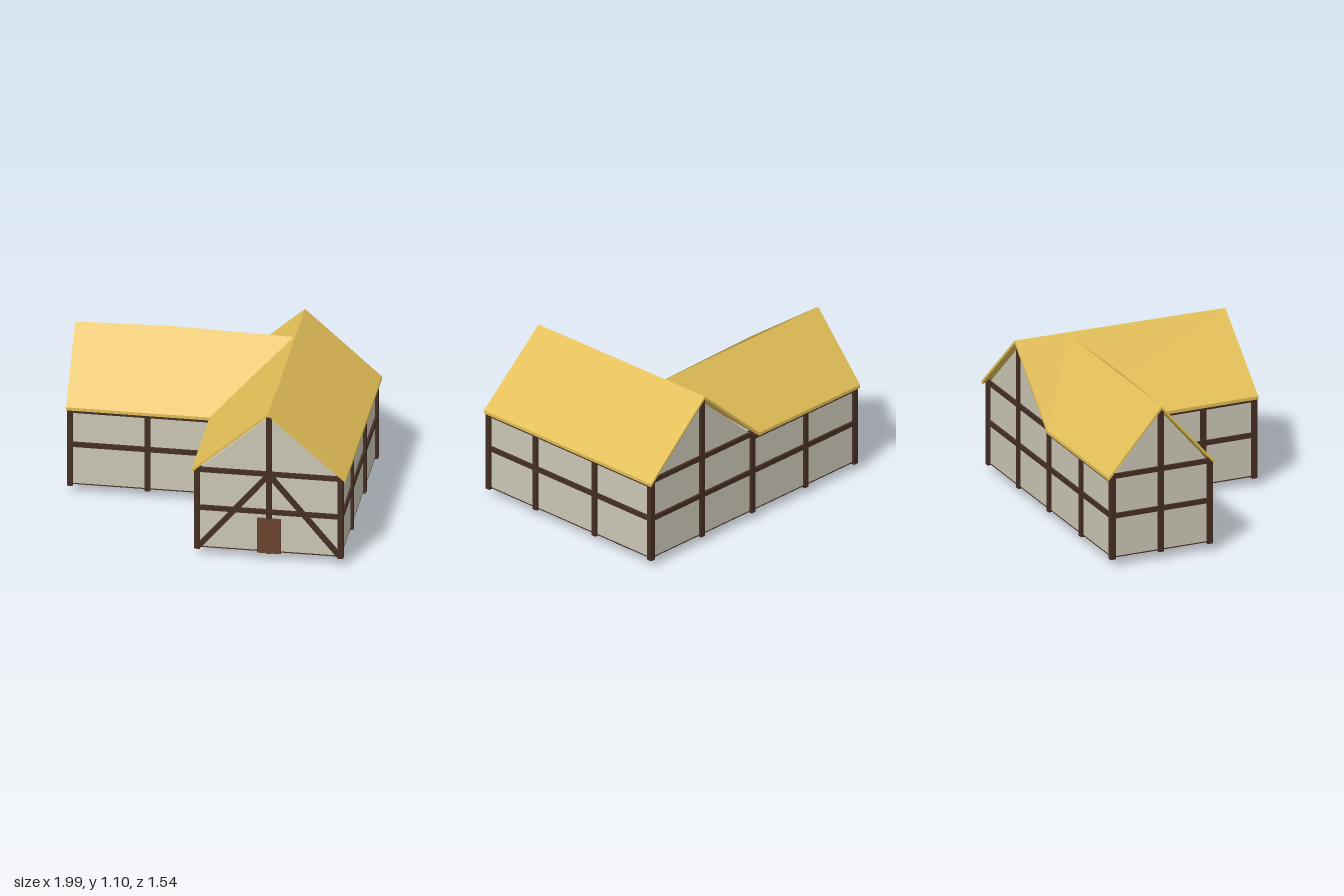
import * as THREE from 'three';

const mat = (color) => new THREE.MeshStandardMaterial({ color, flatShading: true });
const plaster = mat(0xcbc7b6), timber = mat(0x452e24), thatch = mat(0xe3bf58), wood = mat(0x6b4330);

const W = -0.972, I = 0, E = 0.957, M = 0.48;        // x of west, inner, east walls and main ridge
const F = 0.745, N = -0.03, B = -0.735, R = -0.385;  // z of front, inner, back walls and side ridge
const BASE = 0.07, EAVE = 0.63;

export function createModel() {
  const house = new THREE.Group();
  house.name = 'halfTimberedHouse';

  const add = (name, geometry, material, parent = house) => {
    const mesh = new THREE.Mesh(geometry, material);
    mesh.name = name;
    parent.add(mesh);
    return mesh;
  };
  const subgroup = (name) => {
    const g = new THREE.Group();
    g.name = name;
    house.add(g);
    return g;
  };
  const box = (name, w, h, d, x, y, z, material, parent) => {
    const mesh = add(name, new THREE.BoxGeometry(w, h, d), material, parent);
    mesh.position.set(x, y, z);
    return mesh;
  };
  const extrude = (points, depth) => new THREE.ExtrudeGeometry(
    new THREE.Shape(points.map(([a, b]) => new THREE.Vector2(a, b))), { depth, bevelEnabled: false });

  // L-shaped storey and floor, drawn in plan
  const plan = [[W, -N], [I, -N], [I, -F], [E, -F], [E, -B], [W, -B]];
  const storey = (name, y, height, material) =>
    add(name, extrude(plan, height).rotateX(-Math.PI / 2).translate(0, y, 0), material);
  storey('walls', BASE, EAVE - BASE, plaster);
  storey('floor', BASE - 0.008, 0.008, timber);

  // Gable prisms under the roofs
  add('mainGables', extrude([[I, EAVE], [E, EAVE], [M, 1.055]], F - B).translate(0, 0, B), plaster);
  add('sideGable', extrude([[-N, EAVE], [-B, EAVE], [-R, 1.045]], M - W)
    .rotateY(Math.PI / 2).translate(W, 0, 0), plaster);

  // Posts
  const frame = subgroup('timberFrame');
  const post = (x, z, top = EAVE) =>
    box('post', 0.037, top - 0.055, 0.037, x, (top + 0.055) / 2, z, timber, frame);
  [[W, B], [-0.505, B], [I, B], [E, B], [W, N], [-0.455, N], [I, N],
    [I, 0.375], [I, F], [E, F], [E, 0.315], [E, -0.225]].forEach(([x, z]) => post(x, z));
  [[M, F], [M, B], [W, R]].forEach(([x, z]) => post(x, z, 1.06));

  // Rails and braces: square beams between two points
  const beam = (name, a, b, size) => {
    const p = new THREE.Vector3(...a), q = new THREE.Vector3(...b);
    const mesh = box(name, size, size, p.distanceTo(q), 0, 0, 0, timber, frame);
    mesh.position.copy(p).add(q).multiplyScalar(0.5);
    mesh.lookAt(q);
  };
  // each wall: start, end, height of its top rail
  [[[I, F], [E, F], 0.64], [[E, F], [E, B], 0.612], [[E, B], [I, B], 0.64], [[I, B], [W, B], 0.612],
    [[W, B], [W, N], 0.64], [[W, N], [I, N], 0.612], [[I, N], [I, F], 0.612]].forEach(([a, b, top]) => {
    for (const y of [0.36, top]) beam('rail', [a[0], y, a[1]], [b[0], y, b[1]], 0.033);
  });
  for (const x of [I + 0.01, E - 0.01]) beam('brace', [x, 0.075, F], [M, 0.635, F], 0.035);

  // Roof slabs: a convex outline thickened downwards
  const roof = subgroup('roof');
  const slab = (name, outline, thickness = 0.022) => {
    let top = outline.map((p) => new THREE.Vector3(...p));
    const n = top[1].clone().sub(top[0]).cross(top[2].clone().sub(top[0]));
    if (n.y < 0) top = top.reverse();
    const low = top.map((p) => p.clone().setY(p.y - thickness));
    const tris = [];
    top.forEach((p, i) => {
      const j = (i + 1) % top.length;
      if (i > 0 && j > 0) tris.push(top[0], p, top[j], low[0], low[j], low[i]);
      tris.push(p, low[i], low[j], p, low[j], top[j]);
    });
    const g = new THREE.BufferGeometry().setFromPoints(tris);
    g.computeVertexNormals();
    add(name, g, thatch, roof);
  };
  for (const x of [-0.037, 0.993])
    slab('mainRoofSlope', [[x, 0.64, 0.762], [x, 0.64, -0.772], [M, 1.1, -0.77], [M - 0.005, 1.087, 0.76]]);
  for (const z of [0, -0.77])
    slab('sideRoofSlope', [[-0.995, 0.64, z], [-0.037, 0.64, z], [0.465, 1.083, R],
      [-0.35, 1.1, R], [-0.995, 1.083, R]]);

  // Door, sunken floor plate and stilts
  box('door', 0.16, 0.25, 0.03, M, 0.185, F + 0.006, wood);
  box('floorPlate', 0.48, 0.012, 0.12, 0.71, 0.061, -0.47, timber);
  const stilts = subgroup('stilts');
  [[-0.79, -0.275], [-0.215, -0.275], [0.195, -0.275], [0.765, -0.275], [0.195, 0.215], [0.765, 0.215]]
    .forEach(([x, z]) => box('stilt', 0.036, 0.07, 0.036, x, 0.035, z, timber, stilts));

  return house;
}
